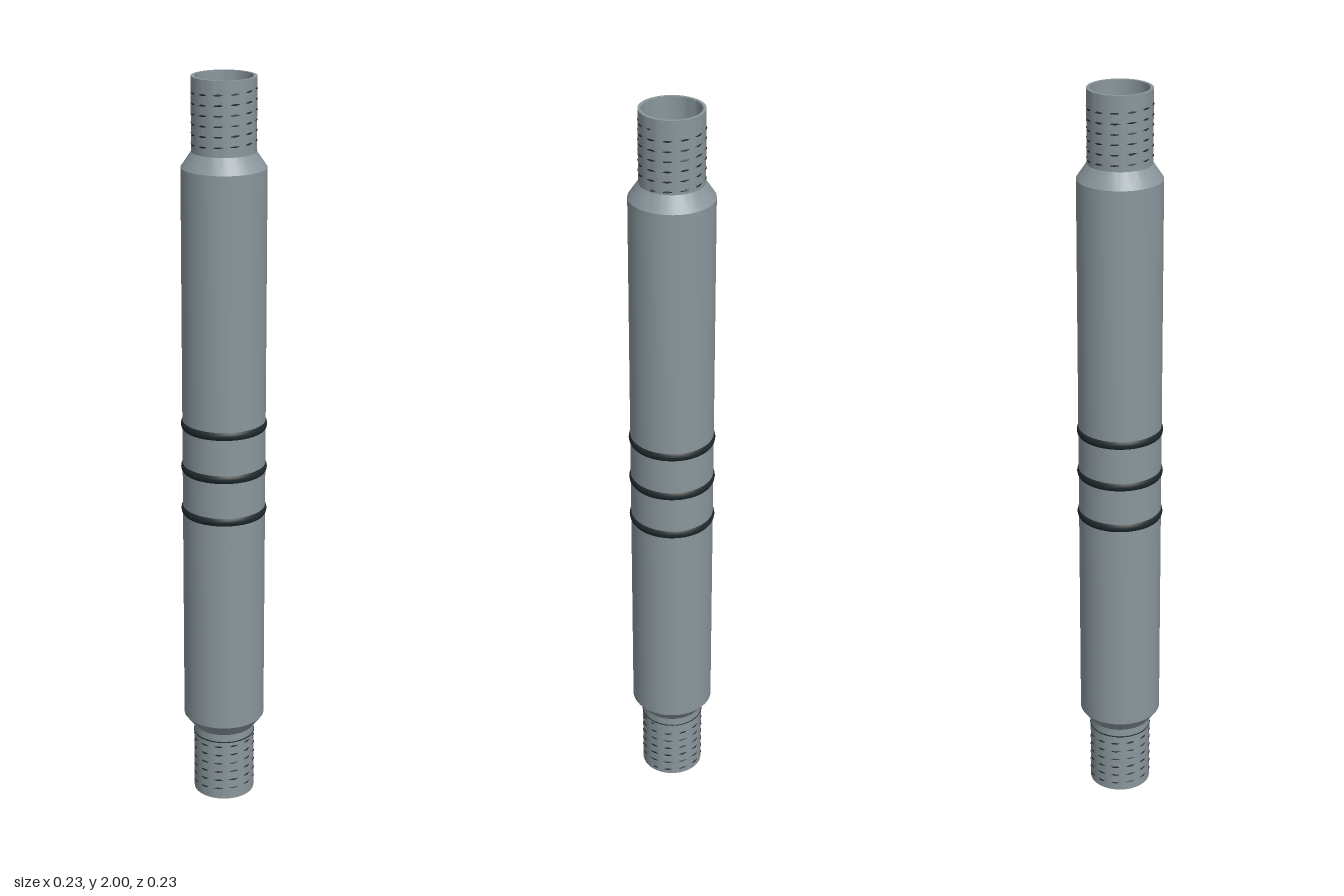
import * as THREE from 'three';
import { toCreasedNormals } from 'three/addons/utils/BufferGeometryUtils.js';

export function createModel() {
  const group = new THREE.Group();
  const steel = new THREE.MeshStandardMaterial({ color: 0x8a979d });
  steel.name = 'steel grey';
  const rubber = new THREE.MeshStandardMaterial({ color: 0x1f2a2c });
  rubber.name = 'dark rubber';

  const add = (name, geometry, material) => {
    const mesh = new THREE.Mesh(geometry, material);
    mesh.name = name;
    group.add(mesh);
    return mesh;
  };
  const lathe = (points, sides) => toCreasedNormals(
    new THREE.LatheGeometry(points.map(([r, y]) => new THREE.Vector2(r, y)), sides), 0.4);

  // Outer skin: narrow ends, chamfered shoulders, wide body, with rims at both openings
  add('tubeBody', lathe([
    [0.075, 0], [0.083, 0], [0.083, 0.2], [0.11, 0.235],
    [0.11, 1.77], [0.083, 1.81], [0.083, 2], [0.075, 2],
  ], 64), steel);

  // Round bore in each threaded end, with a step down to the inner bore
  add('upperEndBore', lathe([[0.075, 2], [0.075, 1.81], [0.062, 1.81]], 48), steel);
  add('lowerEndBore', lathe([[0.062, 0.19], [0.075, 0.19], [0.075, 0]], 48), steel);

  // Eight-sided inner bore
  add('octagonalBore', lathe([[0.068, 1.81], [0.068, 0.19]], 8), steel);

  // Three rounded grip rings
  for (const y of [0.845, 0.965, 1.085]) {
    const ring = add('gripRing', new THREE.TorusGeometry(0.096, 0.018, 16, 64), rubber);
    ring.rotation.x = Math.PI / 2;
    ring.position.y = y;
  }

  // Fine screw threads: a coarse helix that dips in and out of the end surface
  const pitch = 0.026, perTurn = 12;
  const thread = (name, y0, turns) => {
    const path = new THREE.CurvePath();
    const points = Array.from({ length: turns * perTurn + 1 }, (_, i) => {
      const a = (i / perTurn) * Math.PI * 2;
      return new THREE.Vector3(0.083 * Math.cos(a), y0 + (i / perTurn) * pitch, -0.083 * Math.sin(a));
    });
    for (let i = 1; i < points.length; i++) path.add(new THREE.LineCurve3(points[i - 1], points[i]));
    add(name, new THREE.TubeGeometry(path, turns * perTurn, 0.0025, 6), rubber);
  };
  thread('upperThread', 1.815, 6);
  thread('lowerThread', 0.012, 6);

  // Thin seam where the lower thread meets the shoulder
  const seam = add('lowerSeam', new THREE.TorusGeometry(0.0825, 0.002, 6, 64), rubber);
  seam.rotation.x = Math.PI / 2;
  seam.position.y = 0.177;

  return group;
}
